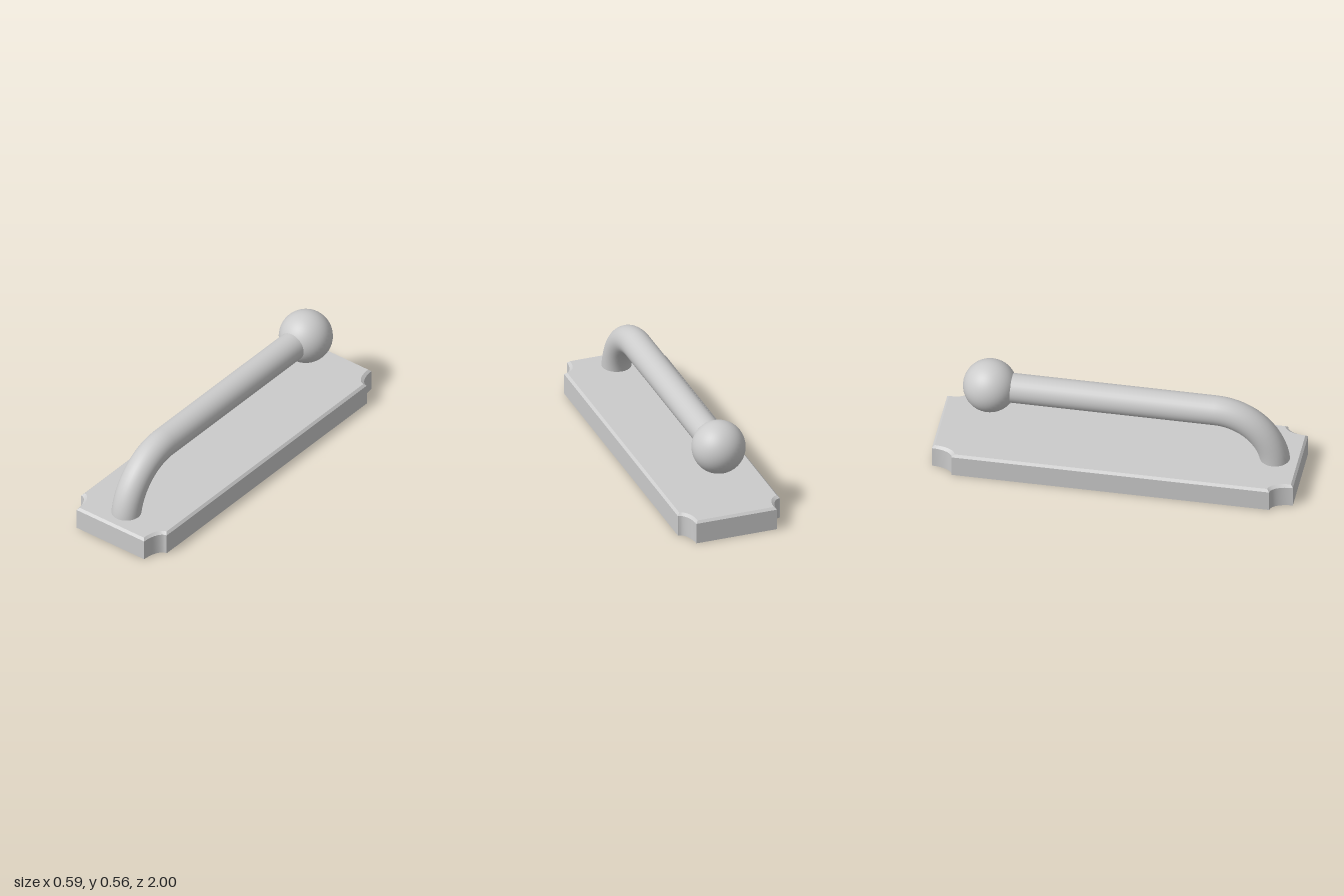
import * as THREE from 'three';
import { toCreasedNormals } from 'three/addons/utils/BufferGeometryUtils.js';

const material = new THREE.MeshStandardMaterial({ color: 0xcccccc });

function part(name, geometry) {
  const mesh = new THREE.Mesh(geometry, material);
  mesh.name = name;
  return mesh;
}

// Rectangular plate with scooped corners and a chamfered top rim
function plateGeometry() {
  const w = 0.297, l = 1, scoopX = 0.062, scoopZ = 0.12;
  const wallTop = 0.12, top = 0.133, chamfer = 0.013;
  const corners = [[1, 1], [-1, 1], [-1, -1], [1, -1]];
  const shape = new THREE.Shape();
  corners.forEach(([sx, sy], i) => {
    const start = (i - 1) * Math.PI / 2;
    shape.absellipse(sx * w, sy * l, scoopX, scoopZ, start, start - Math.PI / 2, true);
  });
  shape.closePath();

  // Two layers: the lower is the wall, the upper is drawn in as the chamfer
  const geometry = new THREE.ExtrudeGeometry(shape, {
    depth: 2, steps: 2, bevelEnabled: false, curveSegments: 6,
  });
  const p = geometry.attributes.position;
  for (let i = 0; i < p.count; i++) {
    const layer = Math.round(p.getZ(i));
    const inset = layer === 2 ? chamfer : 0;
    const x = p.getX(i), y = p.getY(i);
    p.setXYZ(i, x - Math.sign(x) * inset, y - Math.sign(y) * inset, [0, wallTop, top][layer]);
  }
  geometry.rotateX(-Math.PI / 2);
  return toCreasedNormals(geometry, 0.45);
}

export function createModel() {
  const group = new THREE.Group();
  group.name = 'leverHandle';
  group.add(part('basePlate', plateGeometry()));

  const tube = 0.082, bend = 0.333, bendZ = 0.53, bendY = 0.08;
  const axisY = bendY + bend, ballZ = -0.72;

  // Quarter bend rising out of the plate
  const elbow = part('leverBend', new THREE.TorusGeometry(bend, tube, 32, 16, Math.PI / 2));
  elbow.rotation.y = -Math.PI / 2;
  elbow.position.set(0, bendY, bendZ);

  // Straight bar running back into the ball
  const bar = part('leverBar', new THREE.CylinderGeometry(tube, tube, bendZ - ballZ, 32, 1, true));
  bar.rotation.x = Math.PI / 2;
  bar.position.set(0, axisY, (bendZ + ballZ) / 2);

  const ball = part('leverBall', new THREE.SphereGeometry(0.148, 40, 28));
  ball.position.set(0, axisY + 0.001, ballZ);

  group.add(elbow, bar, ball);
  return group;
}
